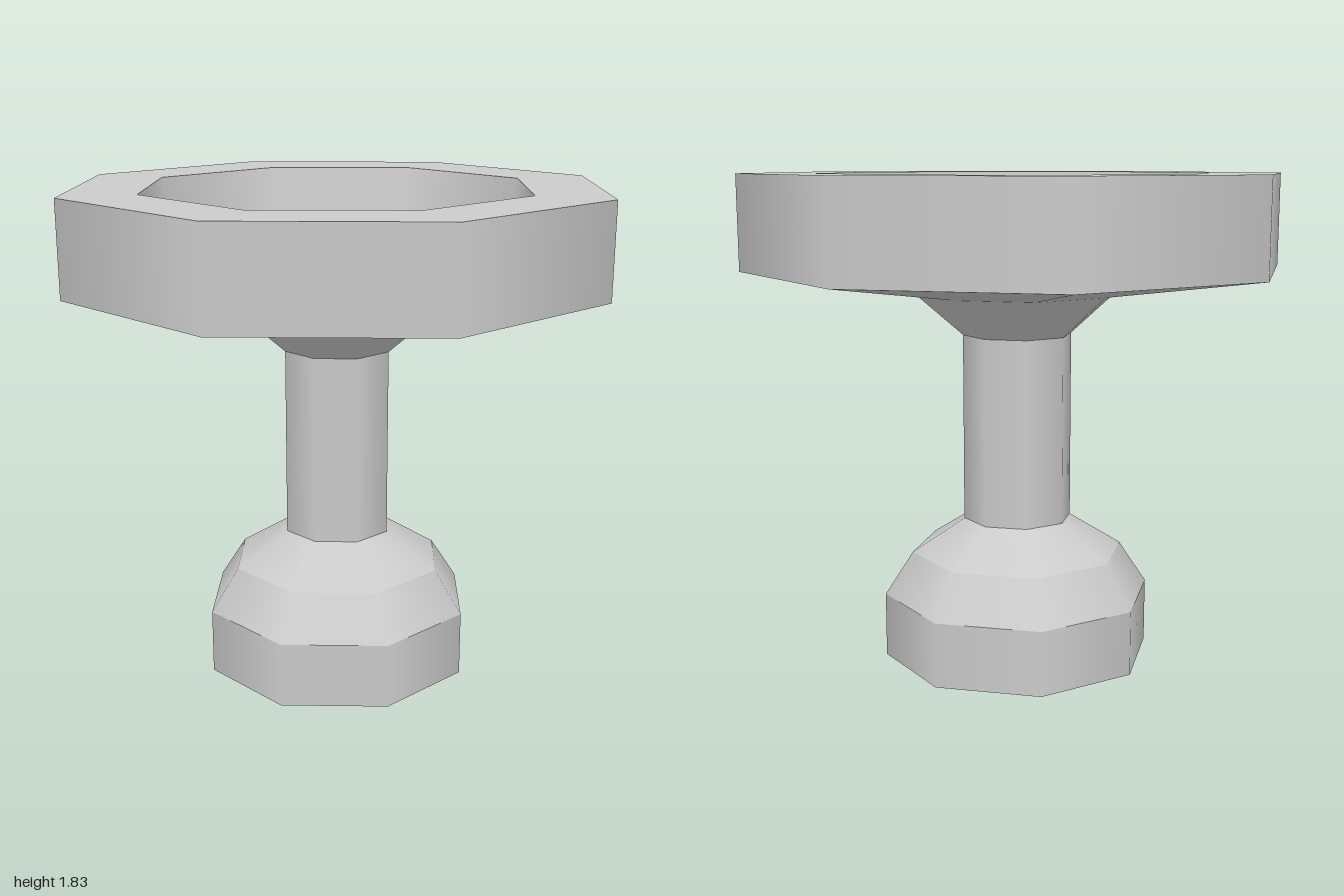
import * as THREE from 'three';
import { mergeGeometries } from 'three/addons/utils/BufferGeometryUtils.js';

const SIDES = 8;
const material = new THREE.MeshStandardMaterial({ color: 0xcccccc });

// Turns a [radius, height] profile into an eight-sided part: smooth around, sharp between bands.
function turned(name, profile) {
  const bands = profile.slice(1).map((end, i) =>
    new THREE.LatheGeometry([profile[i], end].map(([r, y]) => new THREE.Vector2(r, y)), SIDES));
  const mesh = new THREE.Mesh(mergeGeometries(bands), material);
  mesh.name = name;
  return mesh;
}

export function createModel() {
  const group = new THREE.Group();
  group.name = 'pedestalBasin';

  // Rounded foot with a very shallow conical underside
  group.add(turned('foot', [[0, 0], [0.505, 0.025], [0.505, 0.265], [0.4, 0.425], [0.2, 0.55]]));

  // Straight column
  group.add(turned('column', [[0.203, 0.55], [0.203, 1.245]]));

  // Flared neck, wide basin, recessed sloping floor and small drain
  group.add(turned('basin', [
    [0.203, 1.245], [0.38, 1.4], [1, 1.487], [1, 1.83],
    [0.722, 1.83], [0.69, 1.65], [0.017, 1.5], [0.015, 1.46], [0, 1.46],
  ]));

  return group;
}
